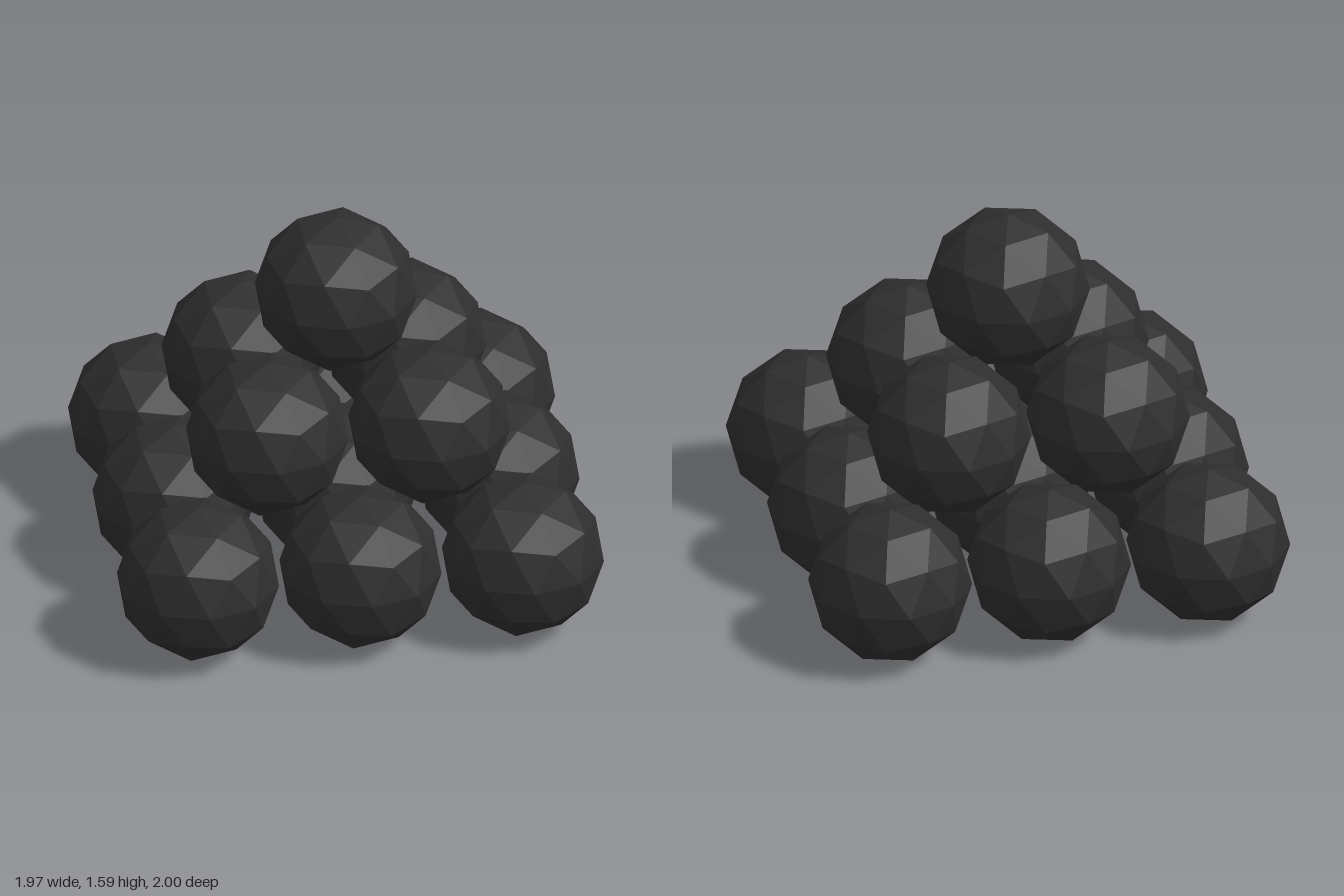
import * as THREE from 'three';

const R = 1 / 3;      // ball radius
const STEP = 0.46;    // height between layers

export function createModel() {
  const group = new THREE.Group();
  group.name = 'ballPyramid';

  const iron = new THREE.MeshStandardMaterial({ color: 0x2e2e2f });
  iron.name = 'dark iron';
  iron.flatShading = true;

  // Faceted ball, turned so that one five-sided corner points straight up
  const ball = new THREE.IcosahedronGeometry(R, 1);
  ball.rotateZ(-Math.atan(2 / (1 + Math.sqrt(5))));

  // Square layers of 3x3, 2x2 and 1 ball
  for (let layer = 0; layer < 3; layer++) {
    const n = 3 - layer;
    const row = new THREE.Group();
    row.name = ['bottomLayer', 'middleLayer', 'topLayer'][layer];
    row.position.y = R + layer * STEP;
    for (let i = 0; i < n; i++) {
      for (let j = 0; j < n; j++) {
        const mesh = new THREE.Mesh(ball, iron);
        mesh.name = 'ball';
        mesh.position.set((2 * i - n + 1) * R, 0, (2 * j - n + 1) * R);
        row.add(mesh);
      }
    }
    group.add(row);
  }
  return group;
}
